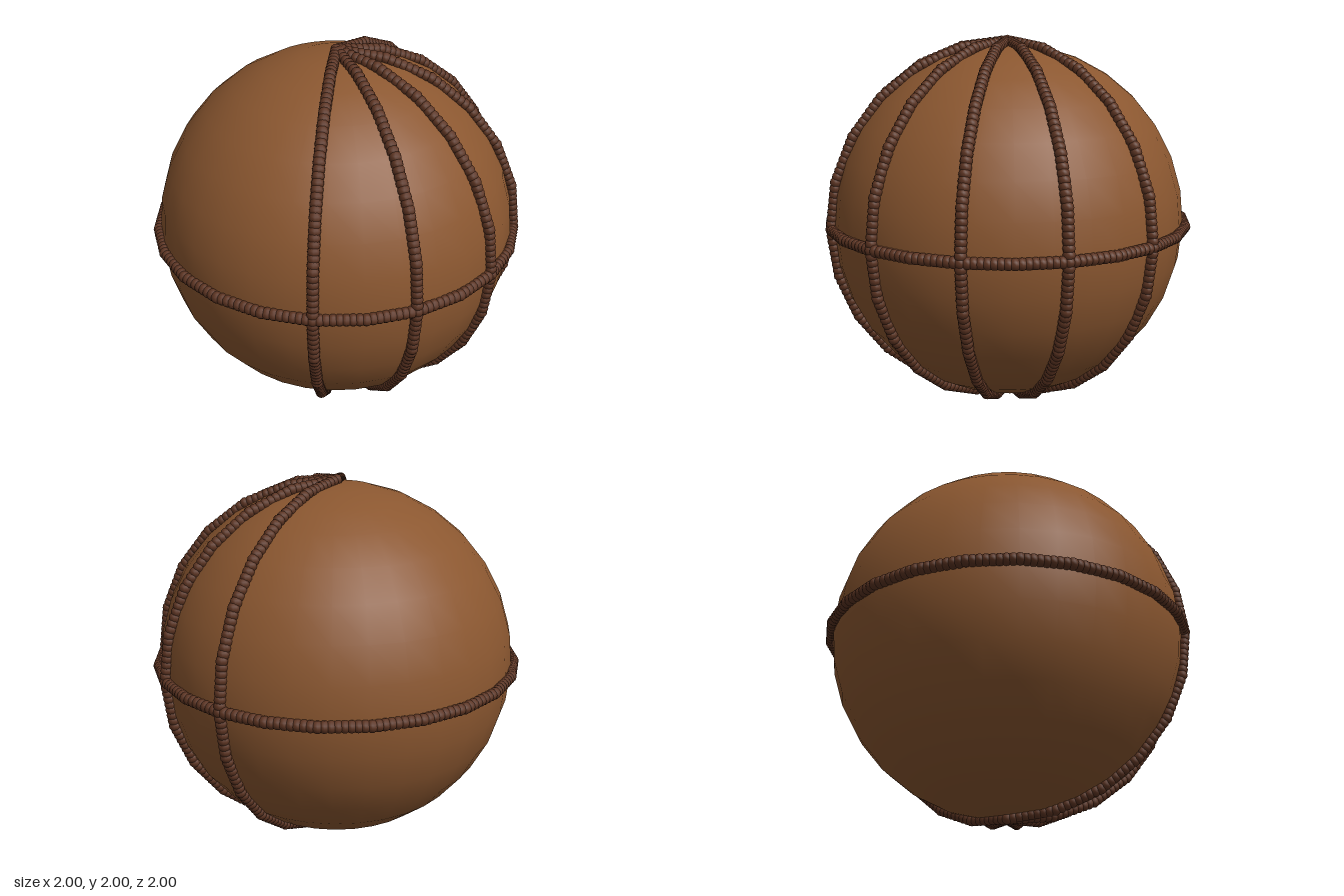
import * as THREE from 'three';
import { mergeGeometries } from 'three/addons/utils/BufferGeometryUtils.js';

const CENTER_Y = 1;
const BALL_RADIUS = 0.957;
const SEAM_RADIUS = 0.969;
const BEAD_RADIUS = 0.031;
const STEP = Math.PI / 12;      // seams follow straight chords of 15 degrees
const BEADS_PER_CHORD = 8;

// Row of overlapping beads spaced evenly along the chords of a seam
function beadRow(name, pointAt, chords, closed, material) {
  const bead = new THREE.SphereGeometry(BEAD_RADIUS, 10, 6);
  const beads = [];
  const total = chords * BEADS_PER_CHORD + (closed ? 0 : 1);
  for (let i = 0; i < total; i++) {
    const chord = Math.floor(i / BEADS_PER_CHORD);
    const t = (i % BEADS_PER_CHORD) / BEADS_PER_CHORD;
    const p = pointAt(chord * STEP).lerp(pointAt((chord + 1) * STEP), t);
    beads.push(bead.clone().translate(p.x, p.y, p.z));
  }
  const mesh = new THREE.Mesh(mergeGeometries(beads), material);
  mesh.name = name;
  return mesh;
}

export function createModel() {
  const leather = new THREE.MeshStandardMaterial({ color: 0x8b5730 });
  leather.name = 'brown leather';
  const cord = new THREE.MeshStandardMaterial({ color: 0x5c3422 });
  cord.name = 'dark brown cord';

  const model = new THREE.Group();
  model.name = 'stitchedBall';

  // Ball
  const ball = new THREE.Mesh(new THREE.SphereGeometry(BALL_RADIUS, 32, 16), leather);
  ball.name = 'ball';
  ball.position.y = CENTER_Y;
  model.add(ball);

  // Seam around the middle
  const seams = new THREE.Group();
  seams.name = 'seams';
  seams.position.y = CENTER_Y;
  seams.add(beadRow('equatorSeam', a =>
    new THREE.Vector3(Math.cos(a), 0, Math.sin(a)).multiplyScalar(SEAM_RADIUS), 24, true, cord));

  // Six pole-to-pole seams, from the left side round the front
  for (let k = 0; k < 6; k++) {
    const turn = k * Math.PI / 6;
    seams.add(beadRow('poleSeam' + (k + 1), a =>
      new THREE.Vector3(Math.sin(a) * Math.cos(turn), Math.cos(a), Math.sin(a) * Math.sin(turn))
        .multiplyScalar(SEAM_RADIUS), 12, false, cord));
  }
  model.add(seams);
  return model;
}
